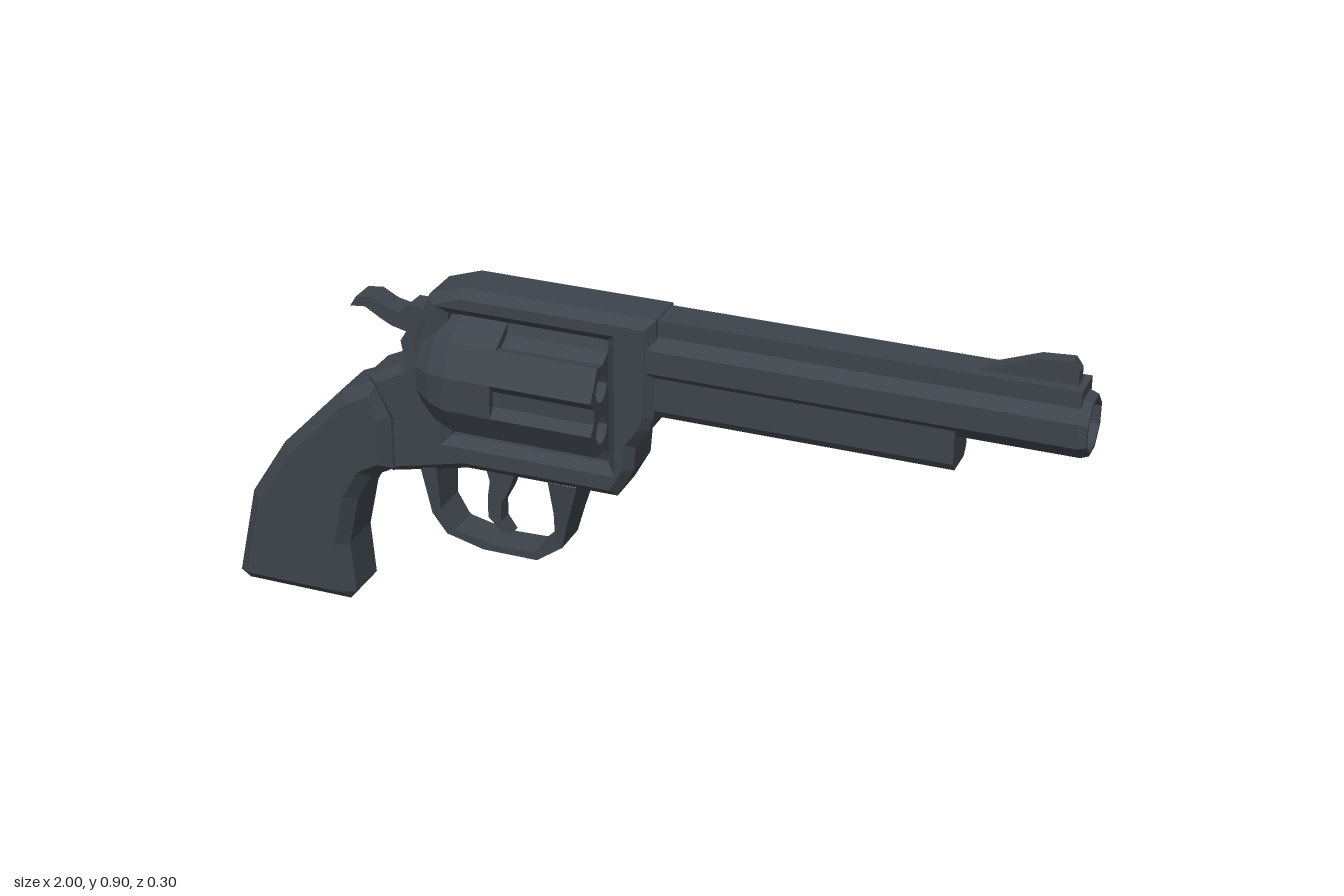
import * as THREE from 'three';

const steel = new THREE.MeshStandardMaterial({ color: 0x3d444b, flatShading: true });
steel.name = 'gunmetal';

const V = (pts) => pts.map(([x, y]) => new THREE.Vector2(x, y));

export function createModel() {
  const model = new THREE.Group();
  model.name = 'revolver';

  const add = (name, geometry, y = 0) => {
    const mesh = new THREE.Mesh(geometry, steel);
    mesh.name = name;
    mesh.position.y = y;
    model.add(mesh);
    return mesh;
  };

  // Side outline extruded to a half thickness in z, with chamfered rims
  const plate = (pts, half, bevel = 0, holes = []) => {
    const shape = new THREE.Shape(V(pts));
    holes.forEach((h) => shape.holes.push(new THREE.Path(V(h))));
    const depth = 2 * (half - bevel);
    return new THREE.ExtrudeGeometry(shape, {
      depth, bevelEnabled: bevel > 0, bevelThickness: bevel,
      bevelSize: bevel, bevelOffset: -bevel, bevelSegments: 1,
    }).translate(0, 0, -depth / 2);
  };

  // [radius, x] profile turned about the x axis, flat sides facing up and sideways
  const turned = (pts, sides) =>
    new THREE.LatheGeometry(V(pts), sides, Math.PI / sides).rotateZ(-Math.PI / 2);

  // Cross-section (z, y) extruded along x
  const alongX = (shape, x0, x1) =>
    new THREE.ExtrudeGeometry(shape, { depth: x1 - x0, bevelEnabled: false, curveSegments: 4 })
      .rotateY(Math.PI / 2).translate(x0, 0, 0);

  // Frame with the cylinder window
  add('frame', plate([
    [-0.585, 0.364], [-0.393, 0.408], [-0.03, 0.41], [0.008, 0.48], [0.013, 0.54],
    [0.045, 0.583], [0.055, 0.62], [0.06, 0.85], [-0.393, 0.85], [-0.473, 0.823],
    [-0.495, 0.77], [-0.52, 0.684], [-0.55, 0.64], [-0.634, 0.6], [-0.62, 0.565], [-0.585, 0.5],
  ], 0.07, 0.02, [[[-0.43, 0.485], [-0.43, 0.785], [-0.05, 0.785], [-0.05, 0.485]]]));

  // Grip
  add('grip', plate([
    [-0.607, 0.59], [-0.7, 0.55], [-0.858, 0.385], [-0.95, 0.24], [-1, 0.016], [-0.976, 0],
    [-0.709, 0], [-0.693, 0.02], [-0.703, 0.15], [-0.676, 0.273], [-0.64, 0.337],
    [-0.58, 0.37], [-0.58, 0.5],
  ], 0.08, 0.028));

  // Barrel with a hollow muzzle, top rib and ejector housing
  const k = 1 / Math.cos(Math.PI / 8);
  add('barrel', turned([
    [0, 0.03], [0.066 * k, 0.03], [0.066 * k, 0.982], [0.06 * k, 1],
    [0.052 * k, 1], [0.048 * k, 0.9], [0, 0.9],
  ], 8), 0.757);
  add('topRib', new THREE.BoxGeometry(0.94, 0.058, 0.084).translate(0.51, 0.818, 0));
  add('ejectorHousing', alongX(new THREE.Shape(V([
    [-0.035, 0.615], [0.035, 0.615], [0.05, 0.635], [0.05, 0.715], [-0.05, 0.715], [-0.05, 0.635],
  ])), 0.03, 0.723));
  add('frontSight', plate([
    [0.757, 0.84], [0.965, 0.84], [0.965, 0.877], [0.95, 0.898], [0.88, 0.893], [0.765, 0.85],
  ], 0.017));

  // Cylinder: solid rear with recoil shield, fluted front with six chambers
  const R = 0.148 / Math.cos(Math.PI / 12);
  add('cylinderRear', turned([
    [0, -0.492], [0.1, -0.492], [0.135, -0.447], [R, -0.4], [R, -0.29], [0, -0.29],
  ], 12), 0.635);
  const polar = (r, deg) => [r * Math.cos(deg * Math.PI / 180), r * Math.sin(deg * Math.PI / 180)];
  const outline = [];
  const chambers = [];
  for (let i = 0; i < 6; i++) {
    const a = i * 60;
    outline.push(polar(R, a - 15), polar(0.13, a - 8), polar(0.13, a + 8), polar(R, a + 15));
    const [cx, cy] = polar(0.1, a + 30);
    const ring = [];
    for (let j = 0; j < 8; j++) {
      const [dx, dy] = polar(0.032, -j * 45);
      ring.push([cx + dx, cy + dy]);
    }
    chambers.push(new THREE.Path(V(ring)));
  }
  const fluted = new THREE.Shape(V(outline));
  fluted.holes.push(...chambers);
  add('cylinderFluted', alongX(fluted, -0.295, -0.052), 0.635);

  // Hammer and trigger
  add('hammer', plate([
    [-0.682, 0.75], [-0.645, 0.754], [-0.61, 0.733], [-0.58, 0.718], [-0.545, 0.71],
    [-0.56, 0.685], [-0.55, 0.63], [-0.48, 0.63], [-0.46, 0.75], [-0.51, 0.775],
    [-0.537, 0.775], [-0.56, 0.754], [-0.59, 0.76], [-0.628, 0.78], [-0.666, 0.775],
  ], 0.03));
  add('trigger', plate([
    [-0.37, 0.42], [-0.355, 0.365], [-0.361, 0.325], [-0.361, 0.273], [-0.334, 0.246],
    [-0.307, 0.235], [-0.329, 0.267], [-0.329, 0.31], [-0.307, 0.353], [-0.285, 0.42],
  ], 0.02));

  // Trigger guard: rectangular sections [outer x, y, inner x, y, half width]
  const sections = [
    [-0.515, 0.42, -0.47, 0.42, 0.06], [-0.49, 0.27, -0.468, 0.285, 0.045],
    [-0.457, 0.22, -0.435, 0.235, 0.04], [-0.366, 0.197, -0.34, 0.213, 0.04],
    [-0.233, 0.197, -0.24, 0.216, 0.04], [-0.168, 0.245, -0.185, 0.268, 0.045],
    [-0.152, 0.31, -0.183, 0.335, 0.055], [-0.12, 0.42, -0.19, 0.42, 0.069],
  ];
  const pos = [];
  const index = [];
  sections.forEach(([ox, oy, ix, iy, w], s) => {
    pos.push(ox, oy, w, ix, iy, w, ix, iy, -w, ox, oy, -w);
    if (s === 0) return;
    for (let j = 0; j < 4; j++) {
      const a = (s - 1) * 4 + j, b = (s - 1) * 4 + (j + 1) % 4;
      index.push(a, a + 4, b, b, a + 4, b + 4);
    }
  });
  const guard = new THREE.BufferGeometry();
  guard.setAttribute('position', new THREE.Float32BufferAttribute(pos, 3));
  guard.setIndex(index);
  guard.computeVertexNormals();
  add('triggerGuard', guard);

  return model;
}
